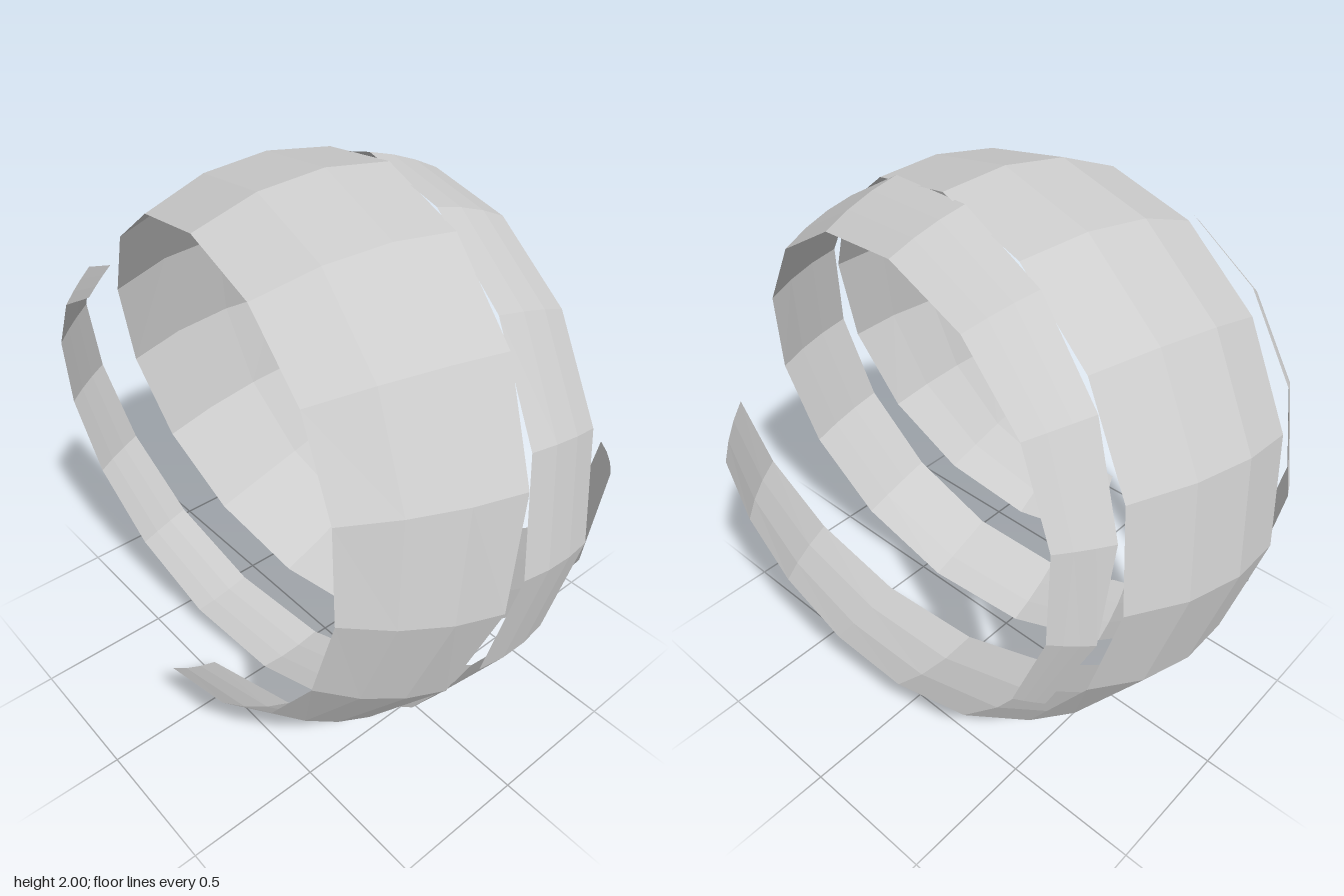
import * as THREE from 'three';

const deg = Math.PI / 180;
const SEGMENTS = 20; // 22.5 degrees each, one and a quarter turns
const BANDS = 3;     // facets across the ribbon

// Centre line on the unit sphere: longitude turns about z while latitude falls evenly.
function centre(startAngle, t) {
  const a = (startAngle - 450 * t) * deg;
  const lat = (40 - 81.2 * t) * deg;
  return new THREE.Vector3(
    Math.sin(a) * Math.cos(lat), Math.cos(a) * Math.cos(lat), Math.sin(lat));
}

// Ribbon lying on the sphere, widest in the middle and narrower at both ends.
function ribbon(name, startAngle, endHalfWidth, swell, material) {
  const positions = [], index = [];
  for (let i = 0; i <= SEGMENTS; i++) {
    const t = i / SEGMENTS;
    const p = centre(startAngle, t);
    const along = centre(startAngle, t + 0.001).sub(centre(startAngle, t - 0.001)).normalize();
    const across = along.cross(p).normalize();
    if (across.z < 0) across.negate();
    const half = (endHalfWidth + swell * Math.sin(Math.PI * t)) * deg;
    for (let j = 0; j <= BANDS; j++) {
      const w = half * (2 * j / BANDS - 1);
      const v = p.clone().multiplyScalar(Math.cos(w)).addScaledVector(across, Math.sin(w));
      positions.push(v.x, v.y + 1, v.z);
    }
  }
  const row = BANDS + 1;
  for (let i = 0; i < SEGMENTS; i++) {
    for (let j = 0; j < BANDS; j++) {
      const a = i * row + j, b = a + 1, c = a + row, d = c + 1;
      index.push(a, b, d, a, d, c);
    }
  }
  const geometry = new THREE.BufferGeometry();
  geometry.setAttribute('position', new THREE.Float32BufferAttribute(positions, 3));
  geometry.setIndex(index);
  const flat = geometry.toNonIndexed();
  flat.computeVertexNormals();
  const mesh = new THREE.Mesh(flat, material);
  mesh.name = name;
  return mesh;
}

export function createModel() {
  const group = new THREE.Group();
  group.name = 'spiralRibbons';
  const grey = new THREE.MeshStandardMaterial({
    color: 0xcccccc, side: THREE.DoubleSide, flatShading: true });
  grey.name = 'light grey';

  group.add(ribbon('wideRibbon', 180, 8.2, 12.5, grey));
  group.add(ribbon('narrowRibbon', -23.5, 3.4, 6.5, grey));
  return group;
}
